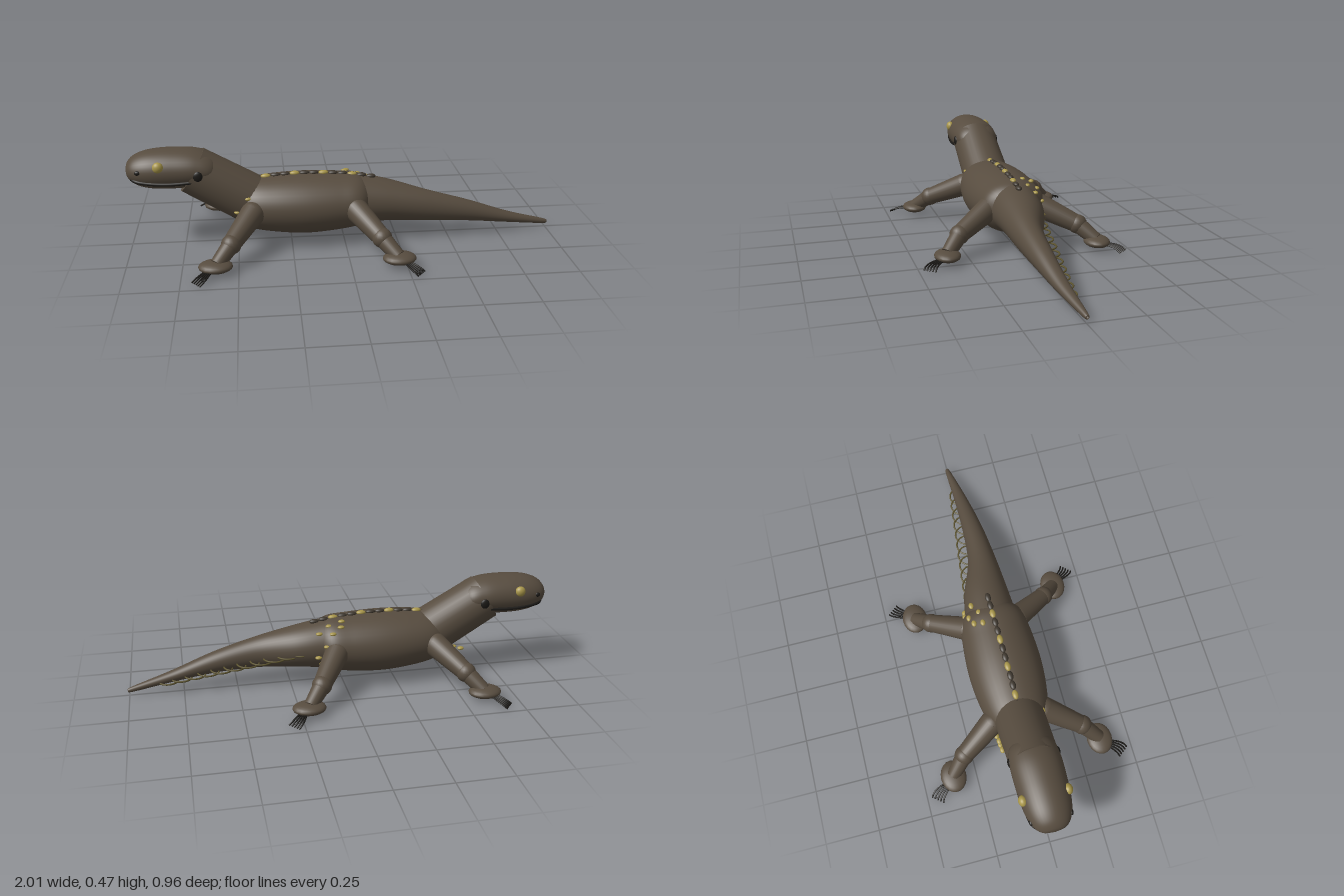
import * as THREE from 'three';

const mat = (color) => new THREE.MeshStandardMaterial({ color, side: THREE.DoubleSide });
const V = (x, y, z) => new THREE.Vector3(x, y, z);

// Smooth skin through elliptical sections [x, y, ry, z, rz], ordered along +x
function loft(rows, steps = 60, sides = 40) {
  const centre = new THREE.CatmullRomCurve3(rows.map(r => V(r[0], r[1], r[3])), false, 'catmullrom', 0.5);
  const radii = new THREE.CatmullRomCurve3(rows.map(r => V(r[2], r[4], 0)), false, 'catmullrom', 0.5);
  const pos = [], idx = [];
  for (let i = 0; i <= steps; i++) {
    const c = centre.getPoint(i / steps), r = radii.getPoint(i / steps);
    for (let j = 0; j < sides; j++) {
      const a = j / sides * Math.PI * 2;
      pos.push(c.x, c.y + r.x * Math.cos(a), c.z + r.y * Math.sin(a));
      if (i < steps) {
        const k = (j + 1) % sides, p = i * sides, q = p + sides;
        idx.push(p + j, p + k, q + j, p + k, q + k, q + j);
      }
    }
  }
  const g = new THREE.BufferGeometry();
  g.setAttribute('position', new THREE.Float32BufferAttribute(pos, 3));
  g.setIndex(idx);
  g.computeVertexNormals();
  return g;
}

export function createModel() {
  const model = new THREE.Group();
  model.name = 'lizard';
  const skin = mat(0x574c3f), yellow = mat(0xa8964a), dark = mat(0x1c1a17);
  const olive = mat(0x5e5530), scaleDark = mat(0x3f382f);

  const add = (name, geo, material, parent = model) => {
    const m = new THREE.Mesh(geo, material);
    m.name = name;
    parent.add(m);
    return m;
  };
  const blob = (name, p, r, material, parent = model) => {
    const m = add(name, new THREE.SphereGeometry(1, 20, 14), material, parent);
    m.position.set(...p);
    m.scale.set(...r);
    return m;
  };
  // Tapered cylinder between two points
  const limb = (name, a, b, ra, rb, parent = model) => {
    const d = b.clone().sub(a);
    const m = add(name, new THREE.CylinderGeometry(rb, ra, d.length(), 28), skin, parent);
    m.position.copy(a).addScaledVector(d, 0.5);
    m.quaternion.setFromUnitVectors(V(0, 1, 0), d.normalize());
    return m;
  };

  // Trunk, tail and head
  add('body', loft([
    [-0.5, 0.19, 0.002, 0, 0.002], [-0.475, 0.19, 0.085, 0, 0.1], [-0.43, 0.19, 0.118, 0, 0.14],
    [-0.32, 0.187, 0.135, 0, 0.165], [-0.18, 0.184, 0.143, 0, 0.175], [-0.03, 0.186, 0.135, 0, 0.166],
    [0.07, 0.19, 0.12, 0, 0.148], [0.13, 0.19, 0.075, 0, 0.08], [0.15, 0.19, 0.002, 0, 0.002],
  ]), skin);
  add('tail', loft([
    [0.04, 0.19, 0.122, 0, 0.125], [0.1, 0.188, 0.115, 0, 0.12], [0.22, 0.18, 0.098, 0.008, 0.105],
    [0.4, 0.154, 0.075, 0.034, 0.068], [0.6, 0.119, 0.051, 0.034, 0.049], [0.8, 0.071, 0.027, 0.021, 0.031],
    [0.99, 0.03, 0.012, 0, 0.012], [1, 0.03, 0.001, 0, 0.001],
  ], 80), skin);
  add('head', loft([
    [-1, 0.378, 0.002, 0, 0.002], [-0.99, 0.378, 0.037, 0, 0.052], [-0.955, 0.377, 0.068, 0, 0.085],
    [-0.89, 0.377, 0.088, 0, 0.106], [-0.79, 0.378, 0.094, 0, 0.114], [-0.68, 0.378, 0.086, 0, 0.113],
    [-0.6, 0.37, 0.062, 0, 0.09], [-0.55, 0.36, 0.002, 0, 0.002],
  ]), skin);
  limb('neck', V(-0.7, 0.365, 0), V(-0.42, 0.2, 0), 0.112, 0.118);

  // Mouth line wrapping the snout
  const lip = [[-0.7, 0.337, 0.102], [-0.79, 0.332, 0.103], [-0.89, 0.335, 0.094], [-0.955, 0.343, 0.074]];
  const mouth = [...lip, [-0.985, 0.35, 0], ...lip.map(p => [p[0], p[1], -p[2]]).reverse()];
  add('mouth', new THREE.TubeGeometry(new THREE.CatmullRomCurve3(mouth.map(p => V(...p))), 60, 0.008, 8), dark);

  for (const s of [1, -1]) {
    const side = s > 0 ? 'left' : 'right';
    blob(side + 'Eye', [-0.845, 0.413, 0.1 * s], [0.025, 0.025, 0.02], yellow);
    blob(side + 'Ear', [-0.67, 0.367, 0.109 * s], [0.022, 0.024, 0.01], dark);
    blob(side + 'Nostril', [-0.937, 0.387, 0.089 * s], [0.015, 0.011, 0.009], dark);

    // Sprawling legs: d is the direction the toes point along x
    for (const [name, x, d] of [['FrontLeg', -0.43, -1], ['HindLeg', 0.045, 1]]) {
      const leg = new THREE.Group();
      leg.name = side + name;
      model.add(leg);
      const P = (dx, y, z) => V(x + d * dx, y, s * z);
      const hip = P(0, 0.185, 0.125), knee = P(0.1, 0.108, 0.285), ankle = P(0.165, 0.045, 0.355);
      limb('upperLeg', hip, knee, 0.057, 0.042, leg);
      limb('lowerLeg', knee, ankle, 0.04, 0.032, leg);
      blob('hip', hip.toArray(), [0.057, 0.057, 0.057], skin, leg);
      blob('knee', knee.toArray(), [0.046, 0.046, 0.046], skin, leg);
      blob('foot', P(0.17, 0.039, 0.357).toArray(), [0.076, 0.026, 0.06], skin, leg);
      // Thin curved claws fanning from the foot
      for (let i = 0; i < 5; i++) {
        const dx = 0.272 - i * 0.009, z = 0.432 + i * 0.011;
        const root = P(0.215 - i * 0.006, 0.03, 0.385 + i * 0.005);
        const claw = new THREE.QuadraticBezierCurve3(root, P(dx - 0.025, 0.026, z - 0.008), P(dx, 0.004, z));
        add('claw', new THREE.TubeGeometry(claw, 10, 0.004, 6), dark, leg);
      }
    }
  }

  // Row of beads along the spine, every third one yellow
  for (let i = 0; i < 13; i++) {
    const x = -0.41 + i * 0.045;
    const y = 0.329 - 0.3 * (x + 0.18) ** 2;
    blob('spineBead', [x, y, 0], [0.023, 0.011, 0.014], i % 3 === 1 ? yellow : scaleDark);
  }

  // Scattered yellow spots on the hips and by the throat
  const spots = [
    [0.01, 0.312, -0.055], [0.07, 0.295, -0.06], [0.06, 0.275, -0.11], [0.12, 0.27, -0.085],
    [0.02, 0.3, -0.095], [0.09, 0.22, -0.125], [0.13, 0.165, -0.118], [0.11, 0.13, -0.112],
    [-0.45, 0.25, 0.108], [-0.5, 0.182, 0.1], [-0.52, 0.165, -0.115], [-0.56, 0.15, -0.11],
    [-0.53, 0.13, -0.112], [-0.49, 0.15, -0.12],
  ];
  for (const p of spots) blob('spot', p, [0.016, 0.008, 0.012], yellow);

  // Thin horizontal loops along the tail's right flank
  for (let i = 0; i < 11; i++) {
    const t = i / 10;
    const m = add('tailBand', new THREE.TorusGeometry(0.055 - 0.008 * t, 0.004, 6, 28, Math.PI), olive);
    m.rotation.x = -Math.PI / 2;
    m.position.set(0.2 + 0.62 * t, 0.17 - 0.12 * t, -0.045 + 0.065 * t);
  }
  return model;
}
